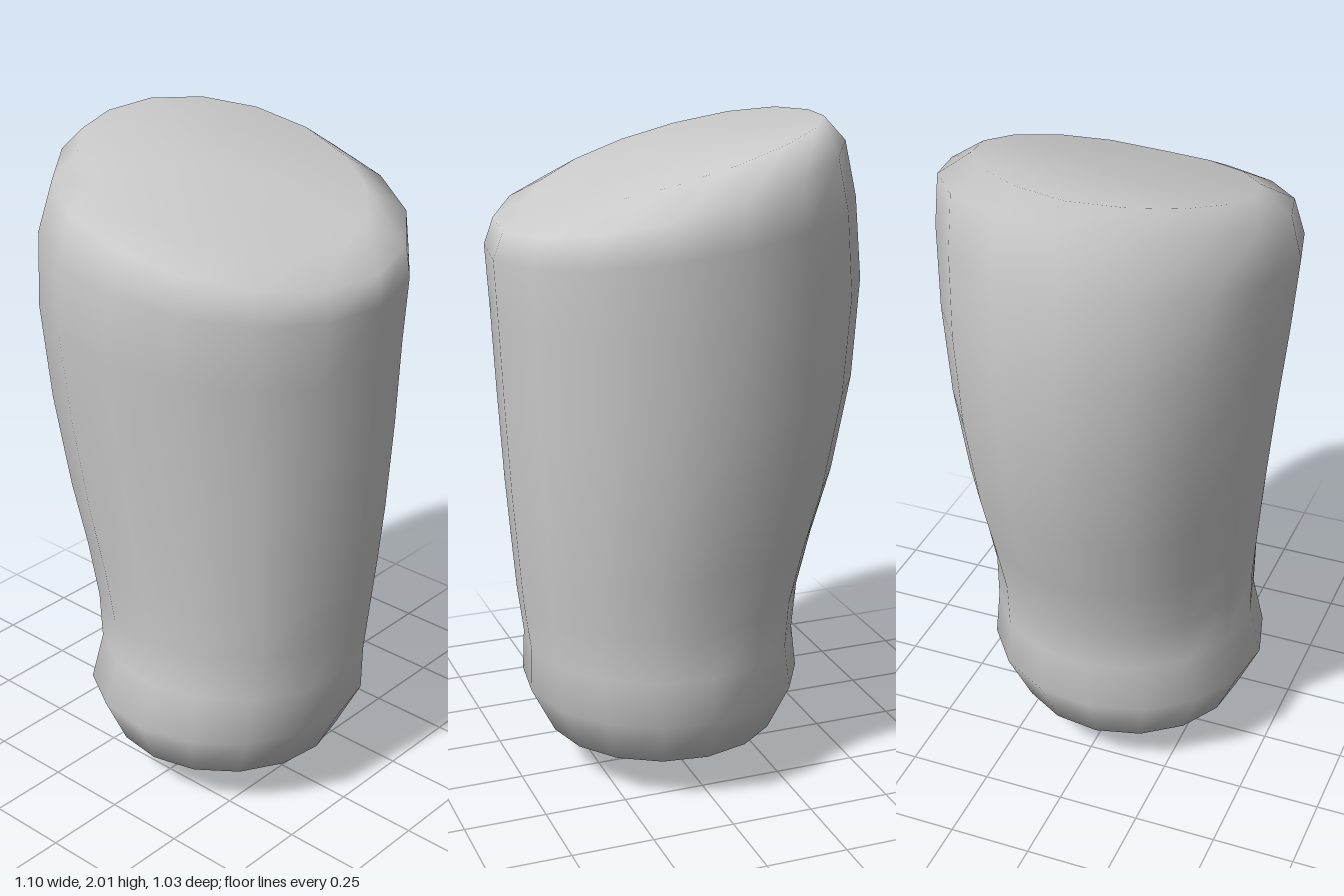
import * as THREE from 'three';

const SIDES = 16;

// Rings from bottom to top: [yLeft, yRight, xLeft, xRight, zBack, zFront, back lift]
const RINGS = [
  [0.14, 0.14, -0.32, 0.39, -0.33, 0.38, 0],
  [0.29, 0.29, -0.385, 0.465, -0.41, 0.45, 0],
  [0.43, 0.43, -0.365, 0.465, -0.40, 0.41, 0],
  [0.57, 0.58, -0.38, 0.485, -0.40, 0.41, 0],
  [0.74, 0.75, -0.42, 0.50, -0.425, 0.425, 0],
  [0.94, 0.93, -0.48, 0.515, -0.45, 0.445, 0],
  [1.23, 1.20, -0.535, 0.53, -0.48, 0.475, 0],
  [1.53, 1.45, -0.555, 0.54, -0.50, 0.505, 0],
  [1.77, 1.64, -0.53, 0.55, -0.515, 0.52, 0.02],
  [1.94, 1.72, -0.485, 0.525, -0.512, 0.485, 0.02],
  [2.0, 1.775, -0.43, 0.42, -0.40, 0.39, 0.04],
];
const BOTTOM = [0.01, 0, 0.04];
const TOP = [-0.02, 1.91, -0.01];

export function createModel() {
  const positions = [];
  const indices = [];

  // Tilted elliptical rings
  for (const [yL, yR, xL, xR, zB, zF, lift] of RINGS) {
    for (let i = 0; i < SIDES; i++) {
      const a = (i / SIDES) * Math.PI * 2 - 0.06;
      const c = Math.cos(a), s = Math.sin(a);
      positions.push(
        (xL + xR) / 2 + (c * (xR - xL)) / 2,
        (yL + yR) / 2 + (c * (yR - yL)) / 2 + lift * Math.max(0, -s),
        (zB + zF) / 2 + (s * (zF - zB)) / 2
      );
    }
  }
  const bottom = RINGS.length * SIDES;
  const top = bottom + 1;
  positions.push(...BOTTOM, ...TOP);

  // Wall strips and the two closing fans
  const last = (RINGS.length - 1) * SIDES;
  for (let i = 0; i < SIDES; i++) {
    const j = (i + 1) % SIDES;
    for (let r = 0; r < last; r += SIDES) {
      indices.push(r + i, r + SIDES + i, r + j);
      indices.push(r + j, r + SIDES + i, r + SIDES + j);
    }
    indices.push(bottom, i, j);
    indices.push(top, last + j, last + i);
  }

  const geometry = new THREE.BufferGeometry();
  geometry.setAttribute('position', new THREE.Float32BufferAttribute(positions, 3));
  geometry.setIndex(indices);
  geometry.computeVertexNormals();

  const body = new THREE.Mesh(geometry, new THREE.MeshStandardMaterial({ color: 0xcccccc }));
  body.name = 'body';
  const group = new THREE.Group();
  group.name = 'slantedStump';
  group.add(body);
  return group;
}
